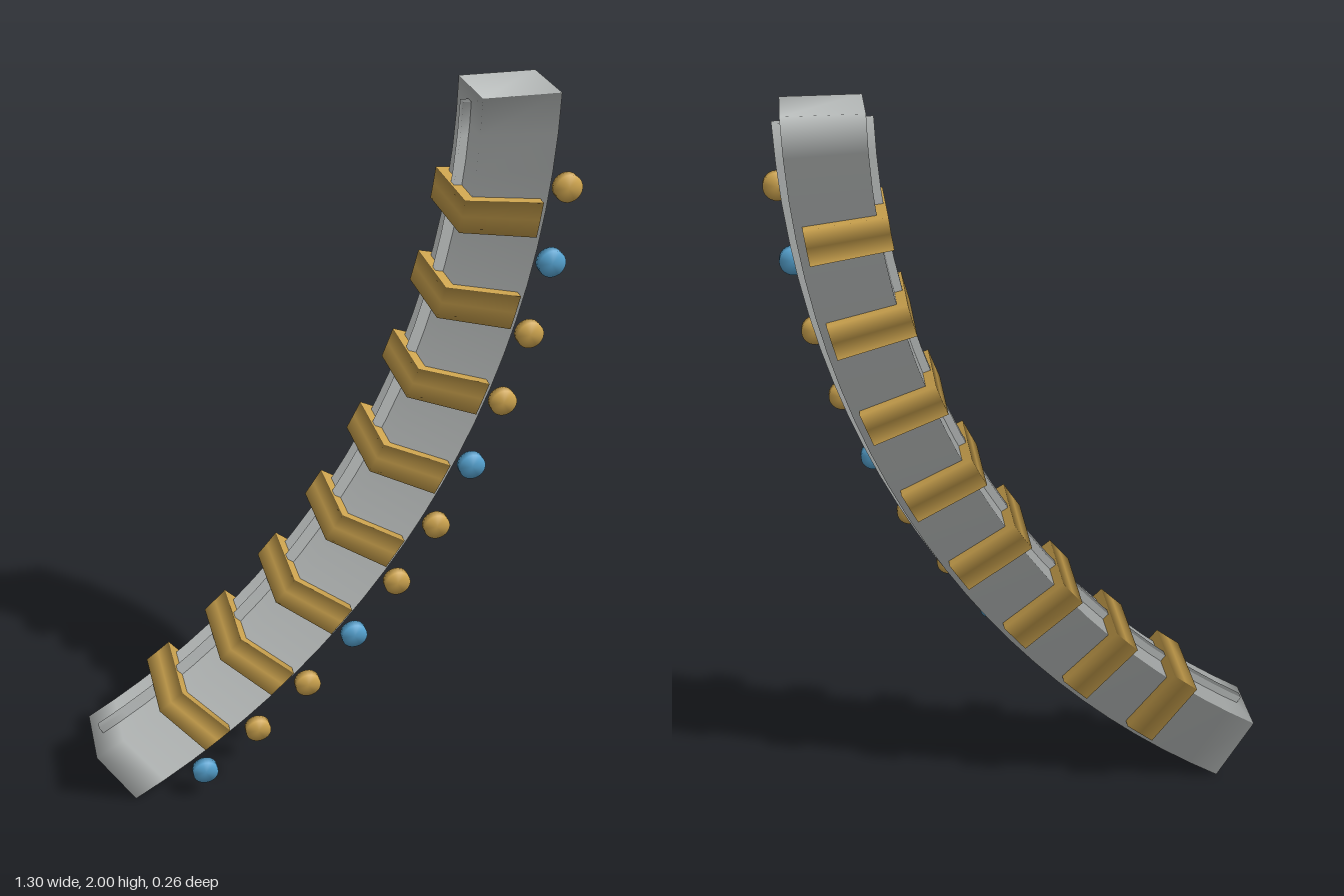
import * as THREE from 'three';
import { mergeVertices } from 'three/addons/utils/BufferGeometryUtils.js';

const CX = -1.73, CY = 2.0; // centre of the arc that everything follows
const rad = THREE.MathUtils.degToRad;

const material = (name, color) => {
  const m = new THREE.MeshStandardMaterial({ color, side: THREE.DoubleSide });
  m.name = name;
  return m;
};

// Bar of rectangular section swept along the arc, with normals shared round
// each ring; angles in degrees measured downwards from +x
function arcBar(r0, r1, a0, a1, z0, z1, segments) {
  const pos = [], index = [];
  for (let i = 0; i <= segments; i++) {
    const a = rad(-THREE.MathUtils.lerp(a0, a1, i / segments));
    // corners: front inner, front outer, back outer, back inner
    for (const [r, z] of [[r0, z1], [r1, z1], [r1, z0], [r0, z0]]) {
      pos.push(CX + r * Math.cos(a), CY + r * Math.sin(a), z);
    }
  }
  // opposite sides run in the same direction, so a ring has one common normal
  for (let i = 0; i < segments; i++) {
    for (const [p, q] of [[1, 0], [1, 2], [2, 3], [0, 3]]) {
      const a = i * 4 + p, b = i * 4 + q;
      index.push(a, a + 4, b + 4, a, b + 4, b);
    }
  }
  for (const e of [0, segments * 4]) index.push(e, e + 1, e + 2, e, e + 2, e + 3);
  const g = new THREE.BufferGeometry();
  g.setAttribute('position', new THREE.Float32BufferAttribute(pos, 3));
  g.setIndex(index);
  g.computeVertexNormals();
  return g;
}

// Disc facing +z with soft, button-like shading
function studGeometry(r, t) {
  let g = new THREE.CylinderGeometry(r, r, t, 24).rotateX(Math.PI / 2);
  g.deleteAttribute('normal');
  g.deleteAttribute('uv');
  g = mergeVertices(g, 1e-5);
  g.computeVertexNormals();
  return g;
}

export function createModel() {
  const group = new THREE.Group();
  const grey = material('pale grey', 0xc6cac9);
  const gold = material('gold', 0xd2a851);
  const blue = material('blue', 0x57a5d3);

  const add = (name, geometry, mat) => {
    const m = new THREE.Mesh(geometry, mat);
    m.name = name;
    group.add(m);
    return m;
  };

  // Curved beam and the thin rib showing along both of its edges
  add('curvedBeam', arcBar(2.124, 2.324, 0, 59.35, -0.103, 0.086, 24), grey);
  add('edgeRib', arcBar(2.103, 2.345, 0.9, 58.4, -0.02, 0.004, 24), grey);

  // Bands wrapped round the inner side
  for (let i = 0; i < 8; i++) {
    const a = 7.8 + i * 6.28;
    add('band' + (i + 1), arcBar(2.097, 2.303, a - 1.15, a + 1.15, -0.13, 0.113, 2), gold);
  }

  // Row of studs along the outer edge, every third one blue
  const stud = studGeometry(0.036, 0.025);
  for (let i = 0; i < 11; i++) {
    const a = rad(-5.6 - i * 4.84);
    add('stud' + (i + 1), stud, i % 3 === 1 ? blue : gold)
      .position.set(CX + 2.355 * Math.cos(a), CY + 2.355 * Math.sin(a), 0.1175);
  }
  return group;
}
